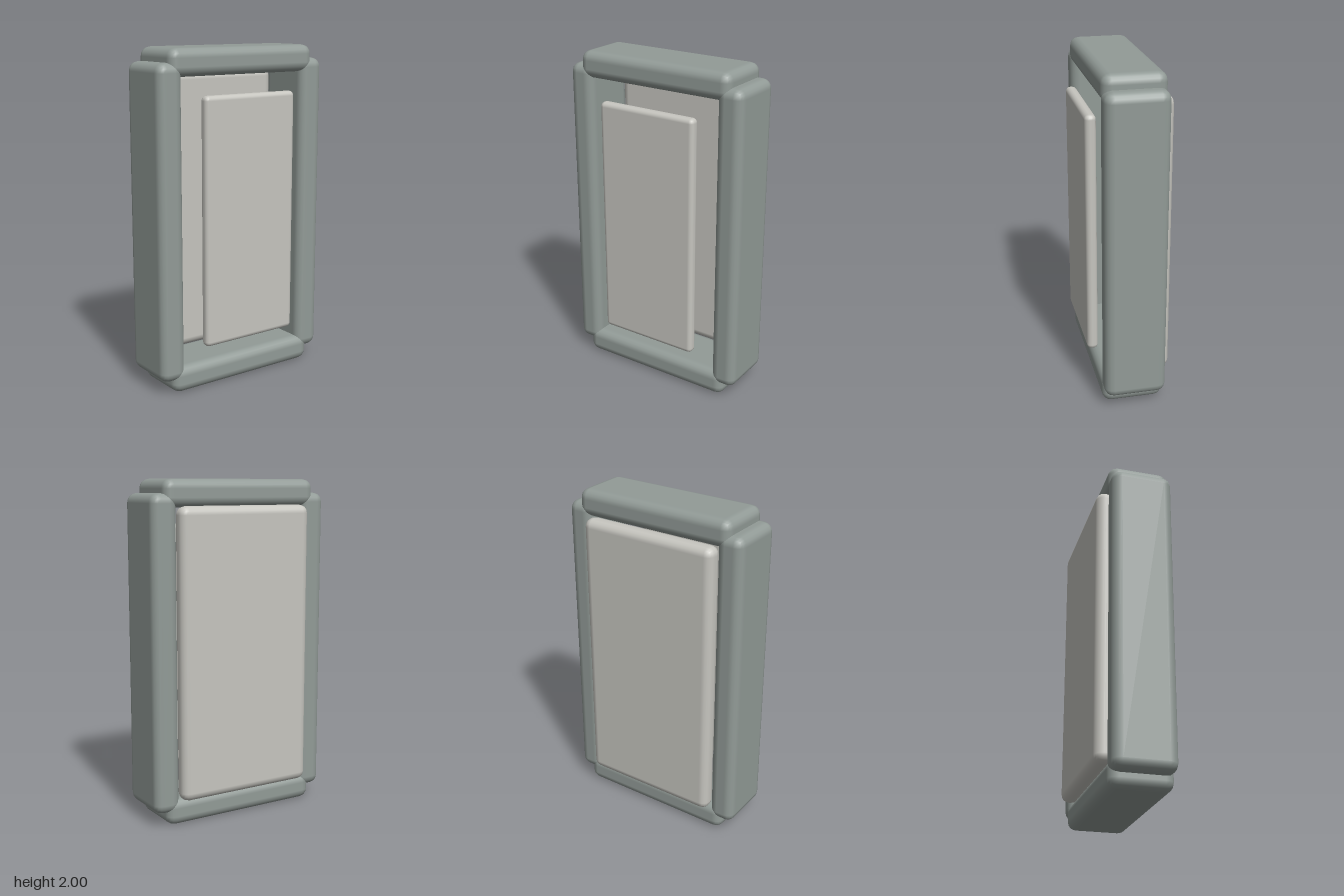
import * as THREE from 'three';
import { RoundedBoxGeometry } from 'three/addons/geometries/RoundedBoxGeometry.js';

const frameGrey = new THREE.MeshStandardMaterial({ color: 0x929b97 });
frameGrey.name = 'frame grey';
const panelGrey = new THREE.MeshStandardMaterial({ color: 0xc6c5bf });
panelGrey.name = 'panel light grey';

export function createModel() {
  const model = new THREE.Group();
  model.name = 'framedPanel';

  // Softly bevelled block given by its size and centre
  const block = (name, material, [w, h, d], radius, [x, y, z]) => {
    const mesh = new THREE.Mesh(new RoundedBoxGeometry(w, h, d, 2, radius), material);
    mesh.name = name;
    mesh.position.set(x, y, z);
    model.add(mesh);
  };

  // Four frame bars, overlapping at the corners
  block('topBar', frameGrey, [1.01, 0.16, 0.365], 0.055, [0, 1.92, -0.002]);
  block('bottomBar', frameGrey, [1.01, 0.16, 0.365], 0.055, [0, 0.08, -0.002]);
  block('leftBar', frameGrey, [0.16, 1.84, 0.365], 0.055, [0.504, 1, -0.002]);
  block('rightBar', frameGrey, [0.16, 1.84, 0.365], 0.055, [-0.504, 1, -0.002]);

  // Large panel closing the back, and the smaller panel floating at the front
  block('backPanel', panelGrey, [0.87, 1.7, 0.11], 0.05, [0, 1, -0.186]);
  block('frontPanel', panelGrey, [0.638, 1.466, 0.066], 0.028, [0, 1.003, 0.204]);

  return model;
}
